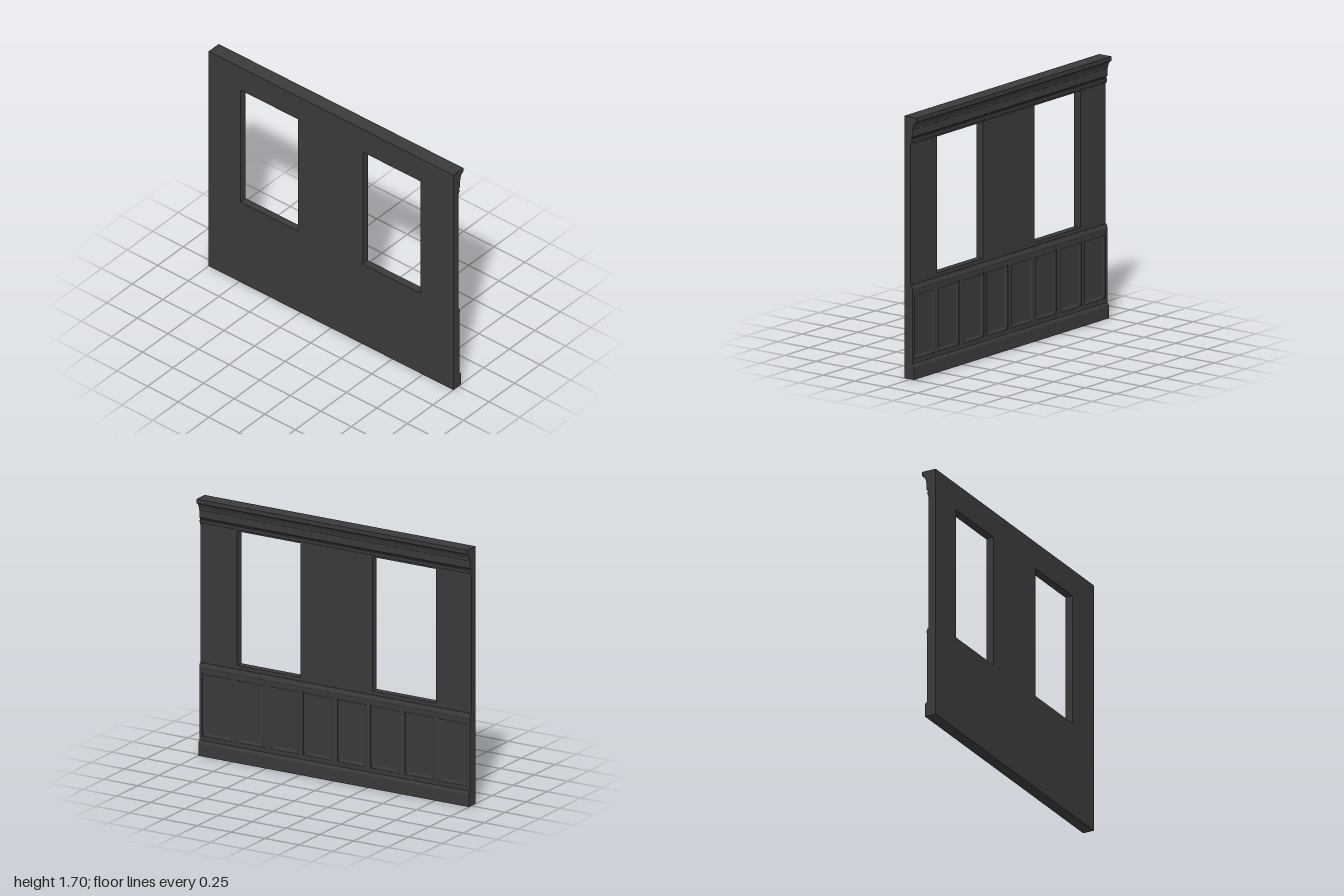
import * as THREE from 'three';

const material = new THREE.MeshStandardMaterial({ color: 0x3a3a3a, side: THREE.DoubleSide });

function mesh(name, geometry) {
  const m = new THREE.Mesh(geometry, material);
  m.name = name;
  return m;
}

function rectPoints(x0, y0, x1, y1) {
  return [[x0, y0], [x1, y0], [x1, y1], [x0, y1]].map(([x, y]) => new THREE.Vector2(x, y));
}

// Flat slab with rectangular openings
function slab(outer, openings, depth) {
  const shape = new THREE.Shape(rectPoints(...outer));
  shape.holes = openings.map((o) => new THREE.Path(rectPoints(...o)));
  return new THREE.ExtrudeGeometry(shape, { depth, bevelEnabled: false });
}

// Moulding: profile of [outward, height] points swept over the full width
function moulding(profile) {
  const shape = new THREE.Shape(profile.map(([z, y]) => new THREE.Vector2(z, y)));
  return new THREE.ExtrudeGeometry(shape, { depth: 2, bevelEnabled: false })
    .rotateY(-Math.PI / 2).translate(1, 0, 0);
}

// Recessed panel: nested rectangles of [inset, outward], closed by a flat field
function recess([x0, y0, x1, y1], steps) {
  const loops = steps.map(([d, z]) =>
    rectPoints(x0 + d, y0 + d, x1 - d, y1 - d).map((p) => [p.x, p.y, z]));
  const pos = [];
  const quad = (a, b, c, d) => pos.push(...a, ...b, ...c, ...a, ...c, ...d);
  for (let i = 0; i < loops.length - 1; i++) {
    for (let k = 0; k < 4; k++) {
      const n = (k + 1) % 4;
      quad(loops[i][k], loops[i][n], loops[i + 1][n], loops[i + 1][k]);
    }
  }
  quad(...loops[loops.length - 1]);
  const g = new THREE.BufferGeometry();
  g.setAttribute('position', new THREE.Float32BufferAttribute(pos, 3));
  g.computeVertexNormals();
  return g;
}

export function createModel() {
  const model = new THREE.Group();
  model.name = 'windowWall';

  // Wall with two window openings
  const windows = [[-0.74, 0.635, -0.27, 1.52], [0.26, 0.635, 0.73, 1.52]];
  model.add(mesh('wall', slab([-1, 0, 1, 1.7], windows, 0.05)));

  // Trim on the back, built facing +z and turned round
  const trim = new THREE.Group();
  trim.name = 'trim';
  trim.rotation.y = Math.PI;
  model.add(trim);

  trim.add(mesh('baseboard', moulding([
    [0, 0], [0.027, 0], [0.027, 0.08], [0.024, 0.09], [0.019, 0.096], [0.013, 0.1], [0, 0.1],
  ])));
  trim.add(mesh('chairRail', moulding([
    [0, 0.575], [0.013, 0.575], [0.0155, 0.58], [0.0145, 0.59], [0.011, 0.597],
    [0.01, 0.603], [0.006, 0.61], [0, 0.61],
  ])));

  // Crown with cove, frieze step and lower bead
  const cove = [];
  for (let i = 0; i <= 6; i++) {
    const a = (i / 6) * Math.PI / 2;
    cove.push([0.045 - 0.027 * Math.sin(a), 1.62 + 0.05 * Math.cos(a) ** 1.3]);
  }
  trim.add(mesh('crown', moulding([
    [0, 1.7], [0.048, 1.7], [0.048, 1.672], ...cove.map(([z, y]) => [z, Math.max(y, 1.62)]),
    [0.015, 1.618], [0.015, 1.57], [0.011, 1.565], [0.004, 1.562], [0.004, 1.556],
    [0.009, 1.553], [0.011, 1.545], [0.009, 1.536], [0.006, 1.533], [0.006, 1.522], [0, 1.52],
  ])));

  // Wainscot: four pairs of recessed panels
  const panels = [];
  for (let i = 0; i < 4; i++) {
    const c = -0.75 + i * 0.5;
    for (const s of [-1, 1]) {
      const mid = c + s * 0.1225;
      panels.push([mid - 0.1075, 0.13, mid + 0.1075, 0.55]);
    }
  }
  trim.add(mesh('wainscotFrame', slab([-1, 0.095, 1, 0.58], panels, 0.013)));
  const steps = [[0, 0.013], [0, 0.01], [0.006, 0.01], [0.016, 0.004], [0.02, 0.003]];
  panels.forEach((p, i) => trim.add(mesh('wainscotPanel' + (i + 1), recess(p, steps))));

  return model;
}
